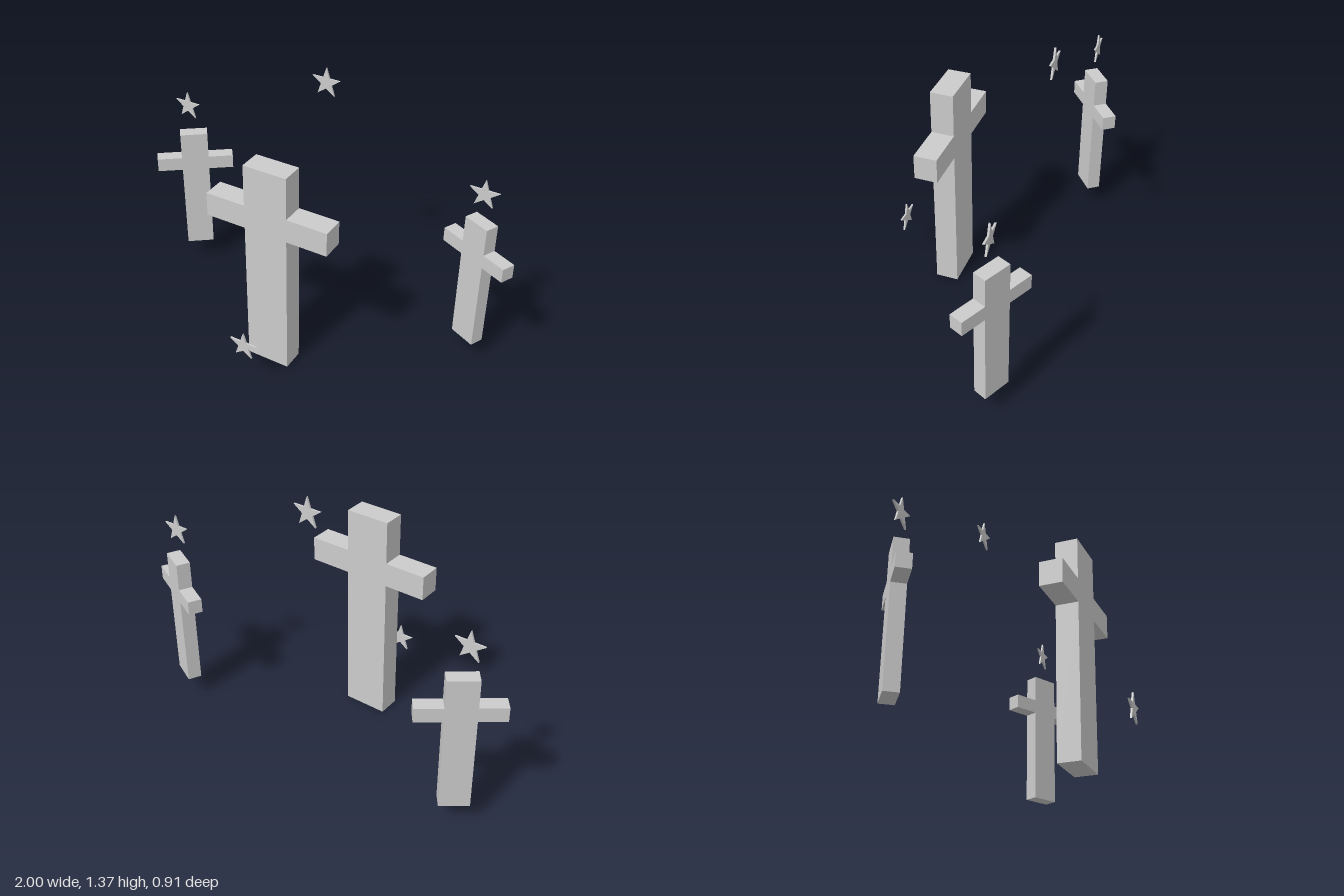
import * as THREE from 'three';

const material = new THREE.MeshStandardMaterial({ color: 0xcccccc, flatShading: true });

// Extrude a flat outline and centre its depth on z = 0
function slab(points, depth) {
  const shape = new THREE.Shape(points.map(([x, y]) => new THREE.Vector2(x, y)));
  const geometry = new THREE.ExtrudeGeometry(shape, { depth, bevelEnabled: false });
  return geometry.translate(0, 0, -depth / 2);
}

// Cross outline: post half width w, arm half span a, arm from y0 to y1, height h
function crossGeometry({ w, a, y0, y1, h, depth }) {
  return slab([
    [-w, 0], [w, 0], [w, y0], [a, y0], [a, y1], [w, y1],
    [w, h], [-w, h], [-w, y1], [-a, y1], [-a, y0], [-w, y0],
  ], depth);
}

// Five-pointed star, one point up
function starGeometry(outer, inner, depth) {
  const points = [];
  for (let i = 0; i < 10; i++) {
    const angle = Math.PI / 2 + (i * Math.PI) / 5;
    const r = i % 2 ? inner : outer;
    points.push([r * Math.cos(angle), r * Math.sin(angle)]);
  }
  return slab(points, depth);
}

export function createModel() {
  const model = new THREE.Group();

  const add = (name, geometry, [x, y, z], turn = 0) => {
    const mesh = new THREE.Mesh(geometry, material);
    mesh.name = name;
    mesh.position.set(x, y, z);
    mesh.rotation.y = THREE.MathUtils.degToRad(turn);
    model.add(mesh);
  };

  // Crosses: a large one in front, two small ones turned and raised behind
  const large = crossGeometry({ w: 0.112, a: 0.32, y0: 0.761, y1: 0.883, h: 1.097, depth: 0.112 });
  const small = crossGeometry({ w: 0.071, a: 0.2, y0: 0.474, y1: 0.546, h: 0.685, depth: 0.069 });
  add('centreCross', large, [-0.021, 0, 0.19]);
  add('rightCross', small, [-0.822, 0.115, -0.307], 37.5);
  add('leftCross', small, [0.8, 0.115, -0.31], -25.5);

  // Thin stars: one above each cross and one low in front
  const star = starGeometry(0.0755, 0.029, 0.009);
  add('centreStar', star, [-0.021, 1.295, -0.3]);
  add('rightStar', star, [-0.84, 0.953, -0.3]);
  add('leftStar', star, [0.8, 0.953, -0.3]);
  add('frontStar', star, [-0.021, 0.248, 0.453]);

  return model;
}
